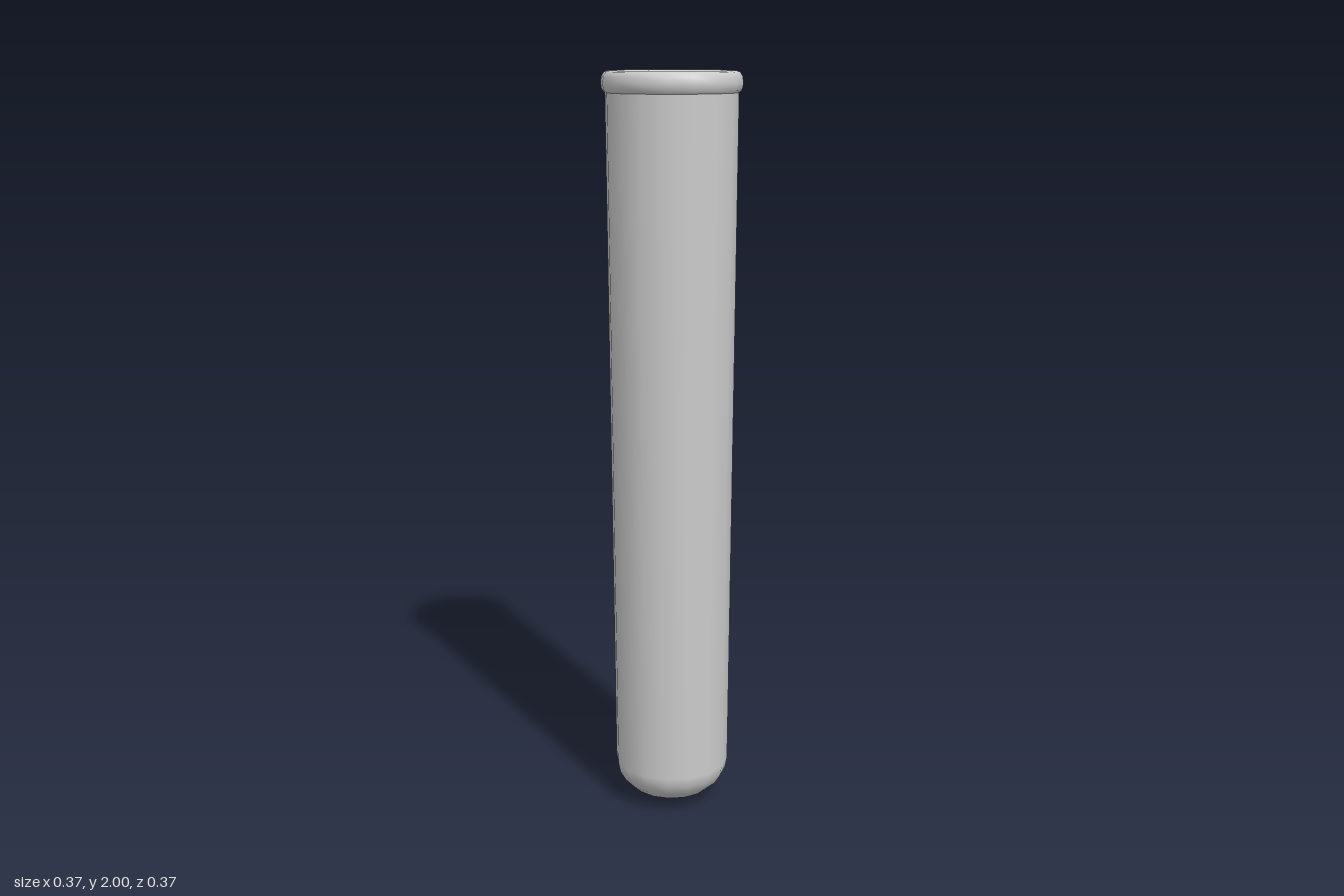
import * as THREE from 'three';

const SIDES = 16;

// Quarter-ellipse from the axis out to radius r, rising by h from y0
function bowl(r, h, y0, steps = 6) {
  return Array.from({ length: steps + 1 }, (_, i) => {
    const a = (i / steps) * Math.PI / 2;
    return new THREE.Vector2(r * Math.sin(a), y0 + h * (1 - Math.cos(a)));
  });
}

function lathe(name, points, material) {
  const mesh = new THREE.Mesh(new THREE.LatheGeometry(points, SIDES), material);
  mesh.name = name;
  return mesh;
}

export function createModel() {
  const group = new THREE.Group();
  group.name = 'testTube';
  const material = new THREE.MeshStandardMaterial({ color: 0xcccccc });
  const v = (x, y) => new THREE.Vector2(x, y);

  // Outer wall: rounded base and a slightly flaring tube
  group.add(lathe('outerWall', [...bowl(0.157, 0.11, 0), v(0.172, 1.945)], material));

  // Rolled lip around the mouth
  group.add(lathe('rim', [
    v(0.172, 1.945), v(0.18, 1.952), v(0.183, 1.968), v(0.181, 1.985), v(0.174, 1.997),
    v(0.163, 2), v(0.152, 1.997), v(0.144, 1.985), v(0.14, 1.965),
  ], material));

  // Inner wall, running down to the rounded inside of the base
  group.add(lathe('innerWall', [v(0.14, 1.965), ...bowl(0.122, 0.09, 0.035).reverse()], material));

  return group;
}
